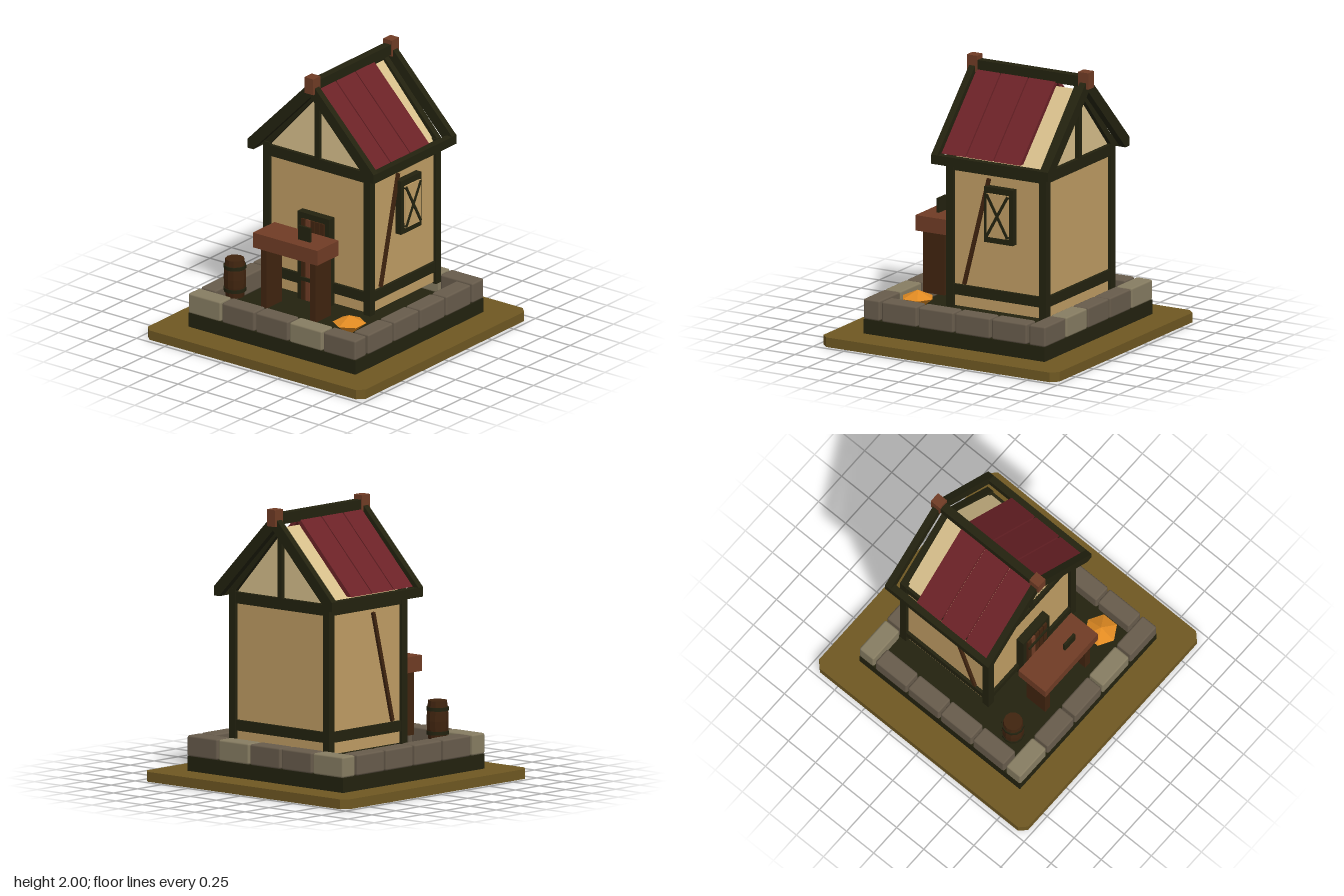
import * as THREE from 'three';
import { RoundedBoxGeometry } from 'three/addons/geometries/RoundedBoxGeometry.js';

const mat = (name, color) => {
  const m = new THREE.MeshStandardMaterial({ color });
  m.name = name;
  return m;
};

export function createModel() {
  const root = new THREE.Group();
  root.name = 'cottage';

  const earth = mat('earth', 0x6f5822), timber = mat('dark timber', 0x23220f);
  const stone = mat('stone', 0x685c4c), paleStone = mat('pale stone', 0x877d62);
  const plaster = mat('plaster', 0xc09d64), cream = mat('cream plaster', 0xd8c08c);
  const red = mat('red cloth', 0x6c2227), brown = mat('brown wood', 0x40240f);
  const russet = mat('russet wood', 0x703c25), amber = mat('amber', 0xe08a22);

  const add = (name, geo, m, parent = root) => {
    const mesh = new THREE.Mesh(geo, m);
    mesh.name = name;
    parent.add(mesh);
    return mesh;
  };
  // Box given by its extents on each axis
  const box = (name, m, x0, x1, y0, y1, z0, z1, parent = root) => {
    const b = add(name, new THREE.BoxGeometry(x1 - x0, y1 - y0, z1 - z0), m, parent);
    b.position.set((x0 + x1) / 2, (y0 + y1) / 2, (z0 + z1) / 2);
    return b;
  };
  // Outline in x,y extruded from z0 to z1
  const prism = (name, m, pts, z0, z1, parent = root) => {
    const shape = new THREE.Shape(pts.map(p => new THREE.Vector2(...p)));
    const geo = new THREE.ExtrudeGeometry(shape, { depth: z1 - z0, bevelEnabled: false });
    geo.translate(0, 0, z0);
    return add(name, geo, m, parent);
  };
  // The same outline on both sides of x = 0
  const prismPair = (name, m, pts, z0, z1, parent) => {
    for (const s of [1, -1]) prism(name, m, pts.map(([x, y]) => [x * s, y]), z0, z1, parent);
  };
  const group = name => {
    const g = new THREE.Group();
    g.name = name;
    root.add(g);
    return g;
  };

  // Ground slab with clipped corners
  const a = 0.965, c = 0.915;
  const slab = new THREE.ExtrudeGeometry(new THREE.Shape(
    [[a, c], [c, a], [-c, a], [-a, c], [-a, -c], [-c, -a], [c, -a], [a, -c]].map(p => new THREE.Vector2(...p))
  ), { depth: 0.07, bevelEnabled: false });
  slab.rotateX(-Math.PI / 2);
  add('ground', slab, earth);
  box('plinth', timber, -0.74, 0.74, 0.07, 0.175, -0.74, 0.74);

  // Stone rim
  const rim = group('stoneRim');
  const block = (m, x, z, w, d) =>
    add('rimStone', new RoundedBoxGeometry(w, 0.15, d, 1, 0.014), m, rim).position.set(x, 0.249, z);
  for (const s of [1, -1]) {
    for (let i = 0; i < 5; i++) block(i % 3 ? stone : paleStone, (i - 2) * 0.299, s * 0.678, 0.286, 0.132);
    for (let i = 0; i < 4; i++) block(stone, s * 0.678, (i - 1.5) * 0.3, 0.132, 0.286);
  }

  // House body and timber frame
  const house = group('house');
  const F = 0.225, B = -0.595, W = 0.475, T = 0.058;
  box('walls', plaster, -0.45, 0.45, 0.29, 1.36, B + 0.025, F - 0.025, house);
  for (const x of [-W, W - T]) for (const z of [B, F - T])
    box('cornerPost', timber, x, x + T, 0.28, 1.38, z, z + T, house);
  for (const [y0, y1] of [[0.375, 0.45], [1.28, 1.36]]) {
    for (const z of [B, F - T]) box('crossBeam', timber, -W + T, W - T, y0, y1, z + 0.003, z + T - 0.003, house);
    for (const x of [-W, W - T]) box('sideBeam', timber, x + 0.003, x + T - 0.003, y0, y1, B + T, F - T, house);
  }
  // Slanted braces on both sides
  for (const s of [1, -1]) {
    const brace = add('brace', new THREE.BoxGeometry(0.03, 0.82, 0.026), brown, house);
    brace.position.set(s * 0.455, 0.855, -0.017);
    brace.rotation.x = -Math.atan2(0.2, 0.79);
  }

  // Gables and roof
  const roof = group('roof');
  prism('gable', cream, [[-0.45, 1.36], [0.45, 1.36], [0, 1.86]], -0.56, 0.195, roof);
  for (const z of [-0.592, 0.17]) {
    box('kingPost', timber, -0.02, 0.02, 1.36, 1.82, z, z + 0.05, roof);
    prismPair('gableRafter', timber, [[0, 1.89], [0.475, 1.38], [0.475, 1.36], [0.425, 1.36], [0, 1.83]], z, z + 0.045, roof);
  }
  for (const [z0, z1] of [[0.245, 0.295], [-0.66, -0.61]])
    prismPair('bargeRafter', timber, [[0, 1.965], [0.56, 1.395], [0.56, 1.33], [0.51, 1.33], [0, 1.85]], z0, z1, roof);
  for (const [z0, z1] of [[0.045, 0.238], [-0.18, 0.036], [-0.405, -0.189]])
    prismPair('roofPanel', red, [[0, 1.93], [0.515, 1.4], [0.47, 1.4], [0, 1.885]], z0, z1, roof);
  for (const s of [1, -1])
    box('eaveBeam', timber, s * 0.535 - 0.026, s * 0.535 + 0.026, 1.328, 1.395, -0.658, 0.293, roof);
  box('ridgeBeam', timber, -0.03, 0.03, 1.89, 1.968, -0.62, 0.25, roof);
  for (const z of [0.272, -0.638]) box('ridgeCap', russet, -0.039, 0.039, 1.88, 2, z - 0.042, z + 0.042, roof);

  // Side window with crossed bars
  const win = group('window');
  const z0 = -0.337, z1 = -0.1;
  for (const [y0, y1] of [[0.8, 0.845], [1.16, 1.205]]) box('windowRail', timber, 0.45, 0.5, y0, y1, z0, z1, win);
  for (const z of [z0, z1 - 0.032]) box('windowStile', timber, 0.45, 0.5, 0.845, 1.16, z, z + 0.032, win);
  box('windowPane', plaster, 0.508, 0.516, 0.845, 1.163, z0 + 0.03, z1 - 0.03, win);
  for (const s of [1, -1]) {
    const bar = add('windowBar', new THREE.BoxGeometry(0.018, 0.35, 0.02), timber, win);
    bar.position.set(0.514, 1.003, (z0 + z1) / 2);
    bar.rotation.x = s * 0.51;
  }

  // Plank door
  const door = group('door');
  for (const s of [1, -1]) box('jamb', timber, s * 0.123 - 0.018, s * 0.123 + 0.018, 0.28, 0.9, 0.2, 0.262, door);
  box('lintel', timber, -0.141, 0.141, 0.895, 0.942, 0.2, 0.262, door);
  box('doorBack', timber, -0.11, 0.11, 0.28, 0.9, 0.2, 0.25, door);
  for (let i = 0; i < 5; i++) {
    const x = -0.084 + i * 0.042;
    box('plank', i === 1 ? russet : brown, x - 0.017, x + 0.017, 0.285, 0.9, 0.24, 0.274, door);
  }
  for (const y of [0.448, 0.795]) box('strap', timber, -0.1, 0.1, y - 0.013, y + 0.013, 0.27, 0.286, door);
  const ring = add('handle', new THREE.TorusGeometry(0.02, 0.006, 6, 12), timber, door);
  ring.position.set(0.065, 0.615, 0.292);
  ring.scale.y = 1.3;

  // Counter with a small upright sign
  const counter = group('counter');
  box('counterTop', russet, -0.285, 0.285, 0.735, 0.847, 0.34, 0.588, counter);
  for (const s of [1, -1]) box('counterLeg', brown, s * 0.217 - 0.025, s * 0.217 + 0.025, 0.28, 0.735, 0.375, 0.55, counter);
  box('signBoard', timber, 0.04, 0.15, 0.847, 0.952, 0.476, 0.494, counter);

  // Barrel with hoops
  const barrel = group('barrel');
  barrel.position.set(-0.52, 0.28, 0.49);
  const profile = [[0, 0], [0.066, 0], [0.077, 0.08], [0.08, 0.14], [0.077, 0.2], [0.068, 0.283], [0, 0.283]];
  const staves = new THREE.LatheGeometry(profile.map(p => new THREE.Vector2(...p)), 12).toNonIndexed();
  staves.computeVertexNormals();
  add('staves', staves, brown, barrel);
  for (const y of [0.055, 0.225]) {
    const hoop = add('hoop', new THREE.CylinderGeometry(0.081, 0.081, 0.026, 12), timber, barrel);
    hoop.position.y = y;
  }

  // Faceted amber gem
  const gem = new THREE.Group();
  gem.name = 'gem';
  gem.position.set(0.47, 0.31, 0.458);
  root.add(gem);
  const cone = (r0, r1, h, y) => {
    const g = new THREE.CylinderGeometry(r0, r1, h, 6, 1, true).toNonIndexed();
    g.computeVertexNormals();
    add('gemFacets', g, amber, gem).position.y = y;
  };
  cone(0, 0.12, 0.055, 0.0275);
  cone(0.12, 0, 0.095, -0.0475);

  return root;
}
